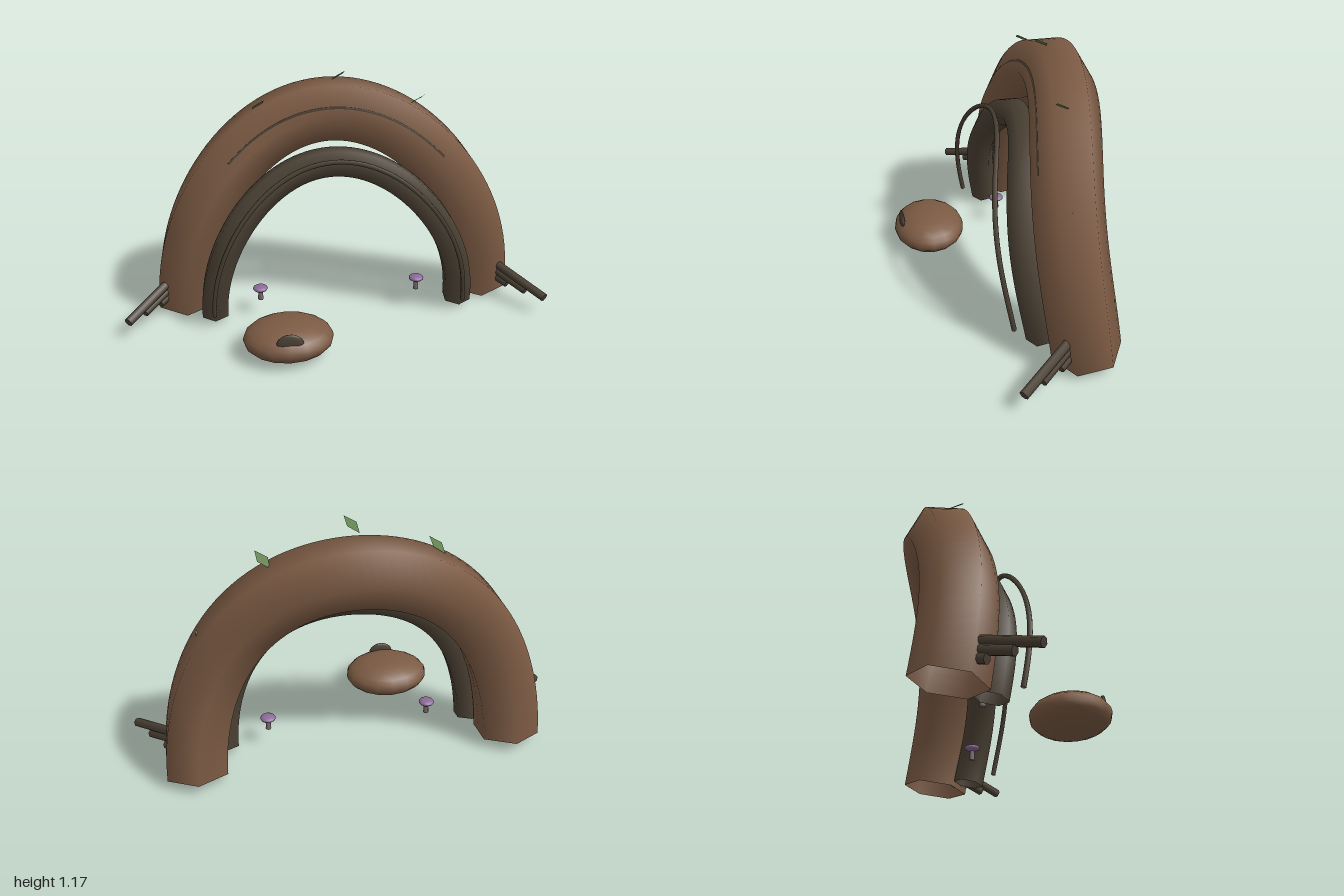
import * as THREE from 'three';
import { ParametricGeometry } from 'three/addons/geometries/ParametricGeometry.js';

const mat = (name, color, side = THREE.FrontSide) => {
  const m = new THREE.MeshStandardMaterial({ color, side });
  m.name = name;
  return m;
};

export function createModel() {
  const bark = mat('bark brown', 0x7b5a43, THREE.DoubleSide);
  const darkWood = mat('dark wood', 0x4a4033, THREE.DoubleSide);
  const leafGreen = mat('leaf green', 0x5c7d48, THREE.DoubleSide);
  const capPurple = mat('mushroom purple', 0x8c6a98);
  const stemGrey = mat('mushroom stem', 0x776a6c);

  const model = new THREE.Group();
  model.name = 'rootArch';
  const add = (name, geometry, material, parent = model) => {
    const m = new THREE.Mesh(geometry, material);
    m.name = name;
    parent.add(m);
    return m;
  };

  // Open six-sided tube along a half ellipse that sways in z
  const archTube = ({ w, h, y, z, r, from = 0, to = Math.PI, steps = 64 }) => {
    const T = new THREE.Vector3(), B = new THREE.Vector3(), N = new THREE.Vector3();
    return new ParametricGeometry((u, v, out) => {
      const t = from + (to - from) * u, a = v * Math.PI * 2;
      T.set(-w * Math.sin(t), h * Math.cos(t), 0.135 * Math.cos(3 * t - 0.25)).normalize();
      B.set(0, 0, 1).addScaledVector(T, -T.z).normalize();
      N.crossVectors(B, T);
      out.set(w * Math.cos(t), y + h * Math.sin(t), z + 0.045 * Math.sin(3 * t - 0.25))
        .addScaledVector(B, r * Math.cos(a)).addScaledVector(N, r * Math.sin(a));
    }, steps, 6);
  };

  // Arches and vines
  add('mainArch', archTube({ w: 0.725, h: 0.925, y: 0.036, z: -0.255, r: 0.152 }), bark);
  add('innerArch', archTube({ w: 0.59, h: 0.725, y: 0.032, z: -0.095, r: 0.07 }), darkWood);
  add('hangingVine', archTube({ w: 0.59, h: 0.72, y: 0.08, z: 0.026, r: 0.011 }), darkWood);
  add('barkRidge', archTube({ w: 0.762, h: 0.97, y: 0.03, z: -0.131, r: 0.008,
    from: 0.87, to: Math.PI - 0.87, steps: 32 }), darkWood);

  // Three parallel roots beside each foot
  for (const s of [-1, 1]) {
    const roots = new THREE.Group();
    roots.name = s > 0 ? 'leftRoots' : 'rightRoots';
    model.add(roots);
    for (let i = 0; i < 3; i++) {
      const a = new THREE.Vector3(s * (0.81 - 0.07 * i), 0.165 - 0.006 * i, -0.155 - 0.09 * i);
      const b = new THREE.Vector3(s * (0.982 - 0.065 * i), 0.09 - 0.006 * i, 0.064 - 0.09 * i);
      const d = b.clone().sub(a);
      const root = add('root', new THREE.CylinderGeometry(0.021, 0.021, d.length(), 7), darkWood, roots);
      root.position.copy(a).add(b).multiplyScalar(0.5);
      root.quaternion.setFromUnitVectors(new THREE.Vector3(0, 1, 0), d.normalize());
    }
  }

  // Tilted diamond leaves over the main arch
  const leaf = new THREE.BufferGeometry();
  leaf.setAttribute('position', new THREE.Float32BufferAttribute([
    0.028, 0.029, 0.03, 0.023, 0.002, -0.02, -0.027, -0.029, -0.029, -0.025, -0.002, 0.023], 3));
  leaf.setIndex([0, 1, 2, 0, 2, 3]);
  leaf.computeVertexNormals();
  for (const [x, y] of [[-0.348, 1.017], [0.017, 1.141], [0.384, 1.017], [0.65, 0.675]])
    add('leaf', leaf, leafGreen).position.set(x, y, -0.217);

  // Boulder with a dark knot on its front
  const boulder = add('boulder', new THREE.SphereGeometry(1, 16, 12), bark);
  boulder.scale.set(0.203, 0.085, 0.17);
  boulder.position.set(-0.262, 0.087, 0.265);
  const knot = add('boulderKnot', new THREE.SphereGeometry(1, 14, 10), darkWood);
  knot.scale.set(0.06, 0.05, 0.013);
  knot.position.set(-0.262, 0.13, 0.397);

  // Mushrooms under the arch
  for (const [x, y] of [[0.385, 0], [-0.372, -0.01]]) {
    const mushroom = new THREE.Group();
    mushroom.name = 'mushroom';
    mushroom.position.set(x, y, -0.1);
    model.add(mushroom);
    add('stem', new THREE.CylinderGeometry(0.01, 0.013, 0.055, 8), stemGrey, mushroom).position.y = 0.117;
    const cap = add('cap', new THREE.SphereGeometry(1, 12, 8), capPurple, mushroom);
    cap.scale.set(0.036, 0.015, 0.036);
    cap.position.y = 0.149;
  }
  return model;
}
